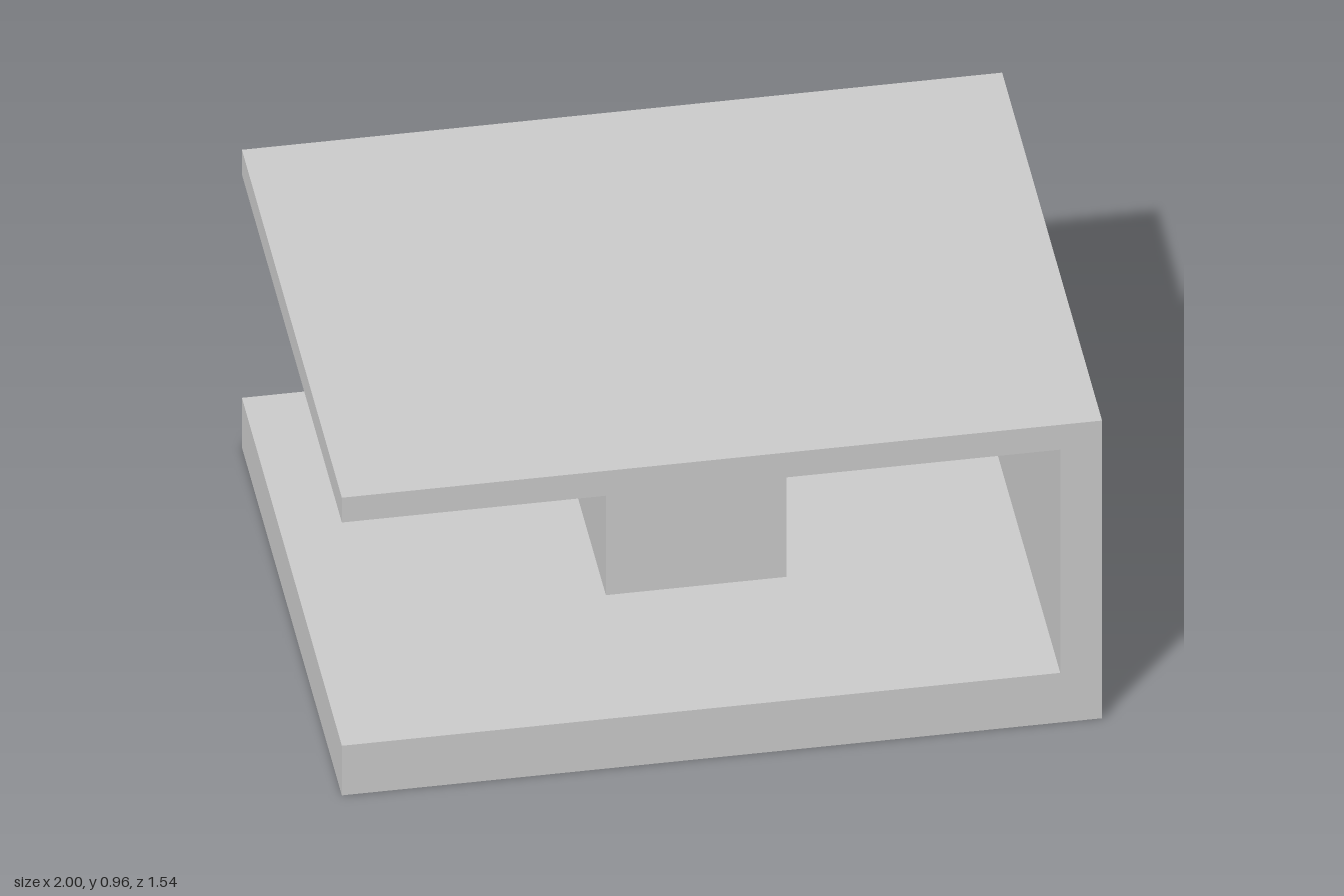
import * as THREE from 'three';

const DEPTH = 1.54;

// Removes the triangles lying flat on the ground, leaving the shell open below
function openBottom(geometry) {
  const pos = geometry.attributes.position;
  const kept = [];
  for (let i = 0; i < pos.count; i += 3) {
    const corners = [i, i + 1, i + 2];
    if (corners.every((c) => Math.abs(pos.getY(c)) < 1e-5)) continue;
    for (const c of corners) kept.push(pos.getX(c), pos.getY(c), pos.getZ(c));
  }
  const result = new THREE.BufferGeometry();
  result.setAttribute('position', new THREE.Float32BufferAttribute(kept, 3));
  result.computeVertexNormals();
  return result;
}

export function createModel() {
  const group = new THREE.Group();
  group.name = 'openSidedTable';
  const material = new THREE.MeshStandardMaterial({
    color: 0xcccccc, flatShading: true, side: THREE.DoubleSide,
  });

  // C-shaped frame: thick base, one side wall and a thin top, hollow underneath
  const profile = new THREE.Shape([
    [-1, 0], [1, 0], [1, 0.96], [-1, 0.96],
    [-1, 0.88], [0.89, 0.88], [0.89, 0.16], [-1, 0.16],
  ].map(([x, y]) => new THREE.Vector2(x, y)));
  const extruded = new THREE.ExtrudeGeometry(profile, { depth: DEPTH, bevelEnabled: false });
  extruded.translate(0, 0, -DEPTH / 2);
  const frame = new THREE.Mesh(openBottom(extruded), material);
  frame.name = 'frame';
  group.add(frame);

  // Square pillar between base and top
  const pillar = new THREE.Mesh(new THREE.BoxGeometry(0.475, 0.72, 0.475), material);
  pillar.position.set(0.023, 0.52, 0);
  pillar.name = 'pillar';
  group.add(pillar);

  return group;
}
